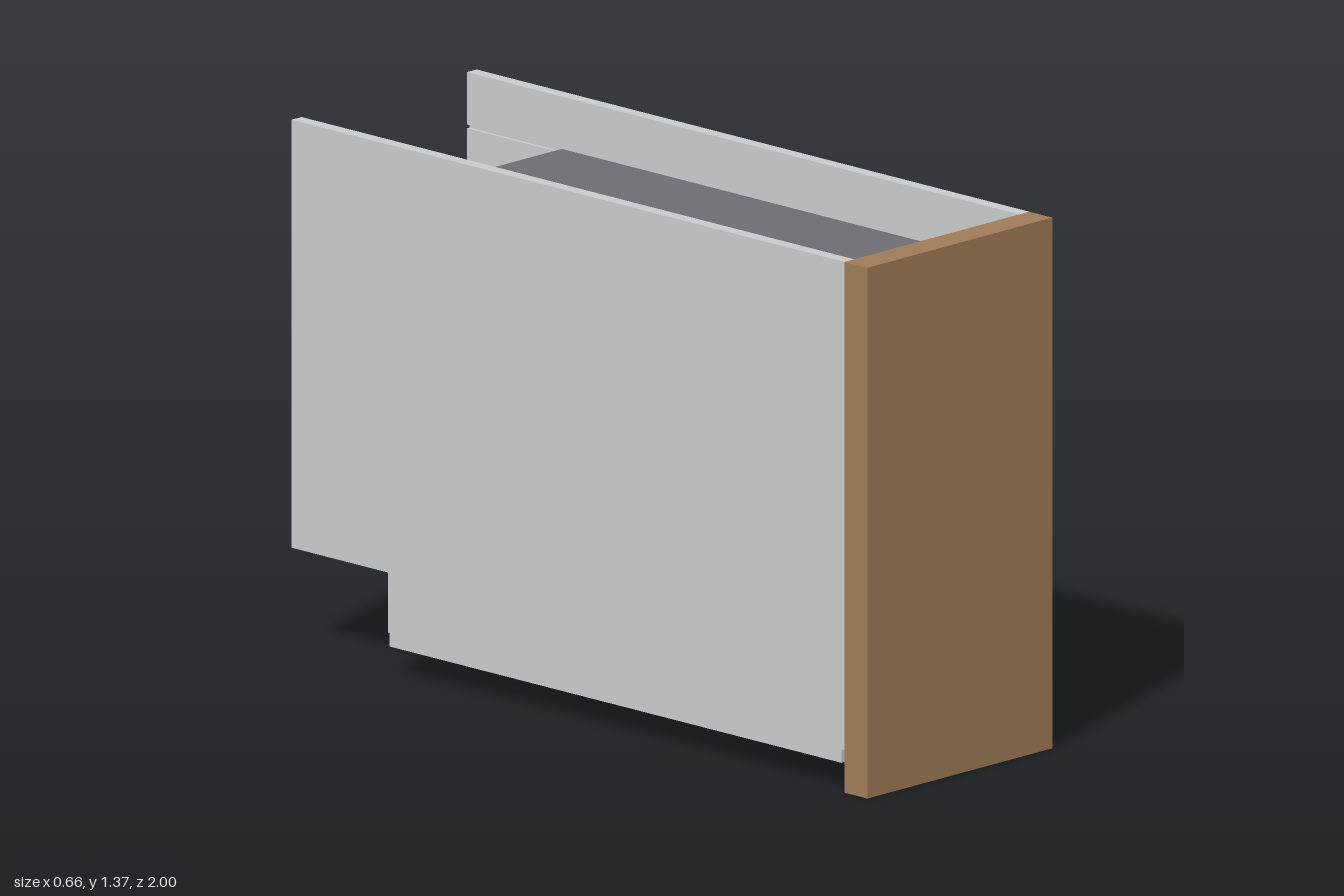
import * as THREE from 'three';

export function createModel() {
  const group = new THREE.Group();
  const grey = new THREE.MeshStandardMaterial({ color: 0xcccccc });
  const wood = new THREE.MeshStandardMaterial({ color: 0xa07c59 });
  const dark = new THREE.MeshStandardMaterial({ color: 0x6e6d73 });
  const metal = new THREE.MeshStandardMaterial({ color: 0x999999 });

  const W = 0.33, T = 0.035;           // half width, board thickness
  const H = 1.37, FRONT = 0.92;        // height, back face of the front panel
  const STEP_Z = -0.665, STEP_Y = 0.265, FLOOR = 0.11;
  const GROOVE_LOW = 1.225, GROOVE_TOP = 1.235, GROOVE_DEPTH = 0.01;

  const add = (name, geometry, material, parent = group) => {
    const mesh = new THREE.Mesh(geometry, material);
    mesh.name = name;
    parent.add(mesh);
    return mesh;
  };

  // box given by its min and max on each axis
  const box = (name, [x0, x1], [y0, y1], [z0, z1], material, parent) => {
    const mesh = add(name, new THREE.BoxGeometry(x1 - x0, y1 - y0, z1 - z0), material, parent);
    mesh.position.set((x0 + x1) / 2, (y0 + y1) / 2, (z0 + z1) / 2);
    return mesh;
  };

  // board outlined in (z, y), reaching from x0 to x1
  const board = (name, outline, x0, x1, parent) => {
    const shape = new THREE.Shape(outline.map(([z, y]) => new THREE.Vector2(z, y)));
    const geometry = new THREE.ExtrudeGeometry(shape, { depth: x1 - x0, bevelEnabled: false });
    geometry.rotateY(-Math.PI / 2).translate(x1, 0, 0);
    return add(name, geometry, grey, parent);
  };

  // front panel
  box('frontPanel', [-W, W], [0, H], [FRONT, 1], wood);

  // side boards, stepped at the lower back, grooved along the inside
  const outline = (top) => [
    [FRONT, FLOOR], [FRONT, top], [-1, top], [-1, STEP_Y + T],
    [STEP_Z, STEP_Y + T], [STEP_Z, FLOOR],
  ];
  for (const s of [1, -1]) {
    const side = new THREE.Group();
    side.name = s > 0 ? 'leftSide' : 'rightSide';
    const span = (a, b) => (s > 0 ? [a, b] : [-b, -a]);
    const inner = W - T, mid = inner + GROOVE_DEPTH;
    board('sideOuterLayer', outline(H), ...span(mid, W), side);
    board('sideInnerLayer', outline(GROOVE_LOW), ...span(inner, mid), side);
    box('sideInnerTop', span(inner, mid), [GROOVE_TOP, H], [-1, FRONT], grey, side);
    group.add(side);
  }

  // bottom board and raised rear shelf
  box('bottomBoard', [-W, W], [FLOOR - T, FLOOR], [-0.66, 0.91], grey);
  box('rearShelf', [-W, W], [STEP_Y, STEP_Y + T], [-1, STEP_Z], grey);

  // inner container
  box('innerContainer', [T - W, W - T], [FLOOR, GROOVE_TOP], [-0.67, FRONT], dark);

  // small bar handle under the bottom board
  const handle = new THREE.Group();
  handle.name = 'handle';
  handle.position.set(0.21, 0, 0.705);
  const bar = add('handleBar', new THREE.CylinderGeometry(0.009, 0.009, 0.215, 20), metal, handle);
  bar.rotation.x = Math.PI / 2;
  bar.position.y = 0.017;
  for (const z of [-0.053, 0.053]) {
    const post = add('handlePost', new THREE.CylinderGeometry(0.006, 0.006, 0.06, 16), metal, handle);
    post.position.set(0, 0.047, z);
  }
  group.add(handle);

  return group;
}
